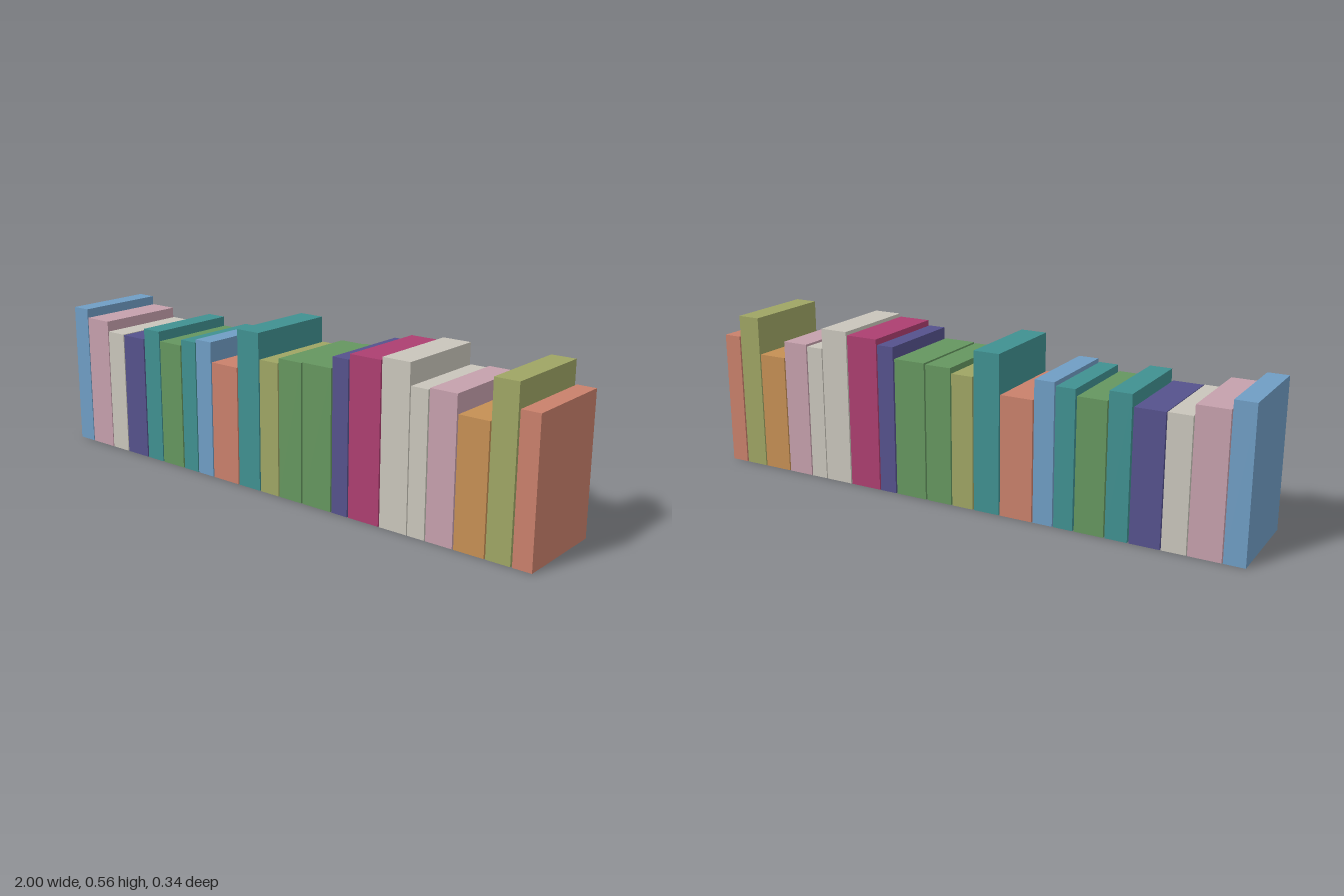
import * as THREE from 'three';

const colours = {
  blue: 0x6f9dc4, pink: 0xc5a0ac, grey: 0xc9c5bb, indigo: 0x55528c, teal: 0x409090,
  green: 0x65965f, red: 0xc9806b, olive: 0x9ea564, magenta: 0xac3e70, orange: 0xc58f54,
};

// Each book: colour, left edge, right edge, height
const books = [
  ['blue', -1, -0.928, 0.522],
  ['pink', -0.924, -0.814, 0.49],
  ['grey', -0.81, -0.728, 0.453],
  ['indigo', -0.724, -0.62, 0.452],
  ['teal', -0.614, -0.537, 0.492],
  ['green', -0.532, -0.429, 0.458],
  ['teal', -0.423, -0.355, 0.48],
  ['blue', -0.35, -0.279, 0.492],
  ['red', -0.274, -0.156, 0.422],
  ['teal', -0.151, -0.056, 0.558],
  ['olive', -0.051, 0.029, 0.468],
  ['green', 0.034, 0.13, 0.486],
  ['green', 0.136, 0.254, 0.489],
  ['indigo', 0.26, 0.323, 0.529],
  ['magenta', 0.328, 0.448, 0.548],
  ['grey', 0.453, 0.557, 0.559],
  ['grey', 0.561, 0.624, 0.486],
  ['pink', 0.629, 0.726, 0.492],
  ['orange', 0.731, 0.838, 0.43],
  ['olive', 0.843, 0.928, 0.564],
  ['red', 0.934, 1, 0.485],
];
const DEPTH = 0.338;

export function createModel() {
  const group = new THREE.Group();
  group.name = 'bookRow';

  const materials = {};
  for (const [name, color] of Object.entries(colours)) {
    materials[name] = new THREE.MeshStandardMaterial({ color });
    materials[name].name = name;
  }

  // Upright books standing side by side with narrow gaps
  books.forEach(([colour, x0, x1, height], i) => {
    const book = new THREE.Mesh(new THREE.BoxGeometry(x1 - x0, height, DEPTH), materials[colour]);
    book.position.set((x0 + x1) / 2, height / 2, 0);
    book.name = `book${i + 1}`;
    group.add(book);
  });
  return group;
}
